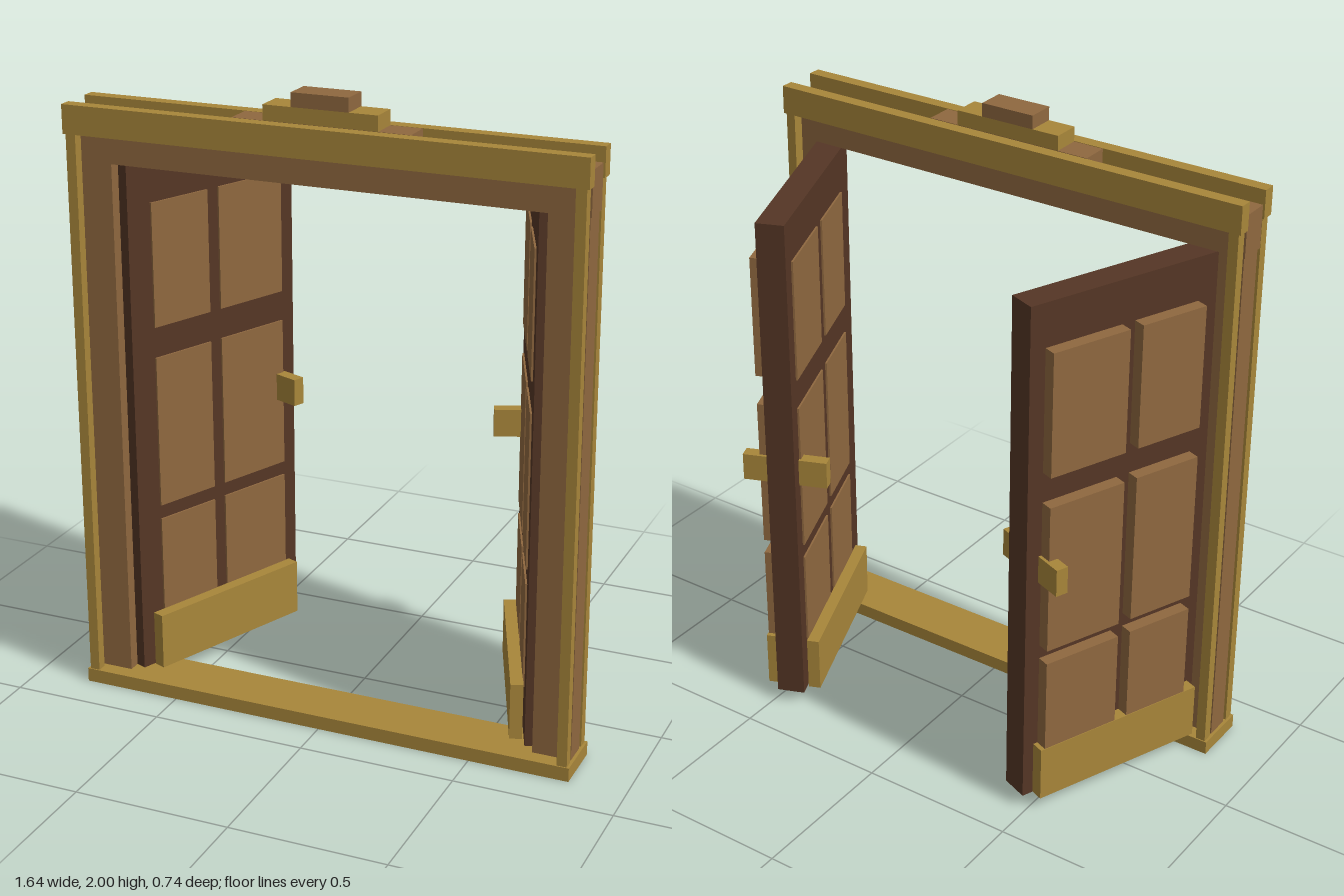
import * as THREE from 'three';

const mat = (name, color) => {
  const m = new THREE.MeshStandardMaterial({ color });
  m.name = name;
  return m;
};

export function createModel() {
  const gold = mat('gold trim', 0xa8863a);
  const brown = mat('mid brown wood', 0x8f683f);
  const dark = mat('dark brown wood', 0x553625);
  const root = new THREE.Group();
  root.name = 'doubleDoorway';

  // Box given by its minimum and maximum along each axis
  const box = (parent, name, material, x0, x1, y0, y1, z0, z1) => {
    const mesh = new THREE.Mesh(new THREE.BoxGeometry(x1 - x0, y1 - y0, z1 - z0), material);
    mesh.position.set((x0 + x1) / 2, (y0 + y1) / 2, (z0 + z1) / 2);
    mesh.name = name;
    parent.add(mesh);
  };

  // Fixed frame
  const frame = new THREE.Group();
  frame.name = 'frame';
  root.add(frame);
  box(frame, 'sill', gold, -0.82, 0.82, 0, 0.045, 0.19, 0.37);
  box(frame, 'header', brown, -0.815, 0.815, 1.73, 1.865, 0.235, 0.325);
  box(frame, 'headerBlock', brown, -0.28, 0.28, 1.865, 1.91, 0.235, 0.325);
  box(frame, 'frontHeaderTrim', gold, -0.82, 0.82, 1.82, 1.91, 0.328, 0.37);
  box(frame, 'backHeaderTrim', gold, -0.82, 0.82, 1.82, 1.91, 0.19, 0.232);
  box(frame, 'crownBase', gold, -0.18, 0.18, 1.91, 1.957, 0.235, 0.325);
  box(frame, 'crownTop', brown, -0.09, 0.09, 1.957, 2, 0.235, 0.325);

  // Panel layout: spans along the door from the hinge, and heights
  const columns = [[0.088, 0.315], [0.36, 0.625]];
  const rows = [[0.2, 0.545], [0.592, 1.09], [1.19, 1.59]];

  for (const side of [1, -1]) {
    // Parts mirrored in x
    const mirrored = (parent, name, material, x0, x1, ...rest) =>
      side > 0 ? box(parent, name, material, x0, x1, ...rest)
        : box(parent, name, material, -x1, -x0, ...rest);

    mirrored(frame, 'jamb', brown, 0.687, 0.81, 0.045, 1.73, 0.24, 0.32);
    mirrored(frame, 'frontPostTrim', gold, 0.78, 0.812, 0.045, 1.82, 0.333, 0.366);
    mirrored(frame, 'backPostTrim', gold, 0.78, 0.812, 0.045, 1.82, 0.194, 0.228);

    // Open door: local x points outward, local -z runs from the hinge
    const door = new THREE.Group();
    door.name = side > 0 ? 'leftDoor' : 'rightDoor';
    door.position.set(side * 0.695, 0, 0.277);
    door.rotation.y = side * THREE.MathUtils.degToRad(21.8);
    root.add(door);
    mirrored(door, 'doorSlab', dark, -0.045, 0.045, 0.045, 1.73, -0.677, 0);
    for (const [s0, s1] of columns) {
      for (const [y0, y1] of rows) {
        mirrored(door, 'raisedPanel', brown, -0.051, 0.085, y0, y1, -s1, -s0);
      }
    }
    mirrored(door, 'outerKickPlate', gold, 0.045, 0.087, 0.046, 0.23, -0.64, -0.043);
    mirrored(door, 'innerKickPlate', gold, -0.09, -0.05, 0.046, 0.23, -0.64, -0.043);
    mirrored(door, 'handle', gold, -0.136, 0.137, 0.82, 0.91, -0.635, -0.595);
  }
  return root;
}
